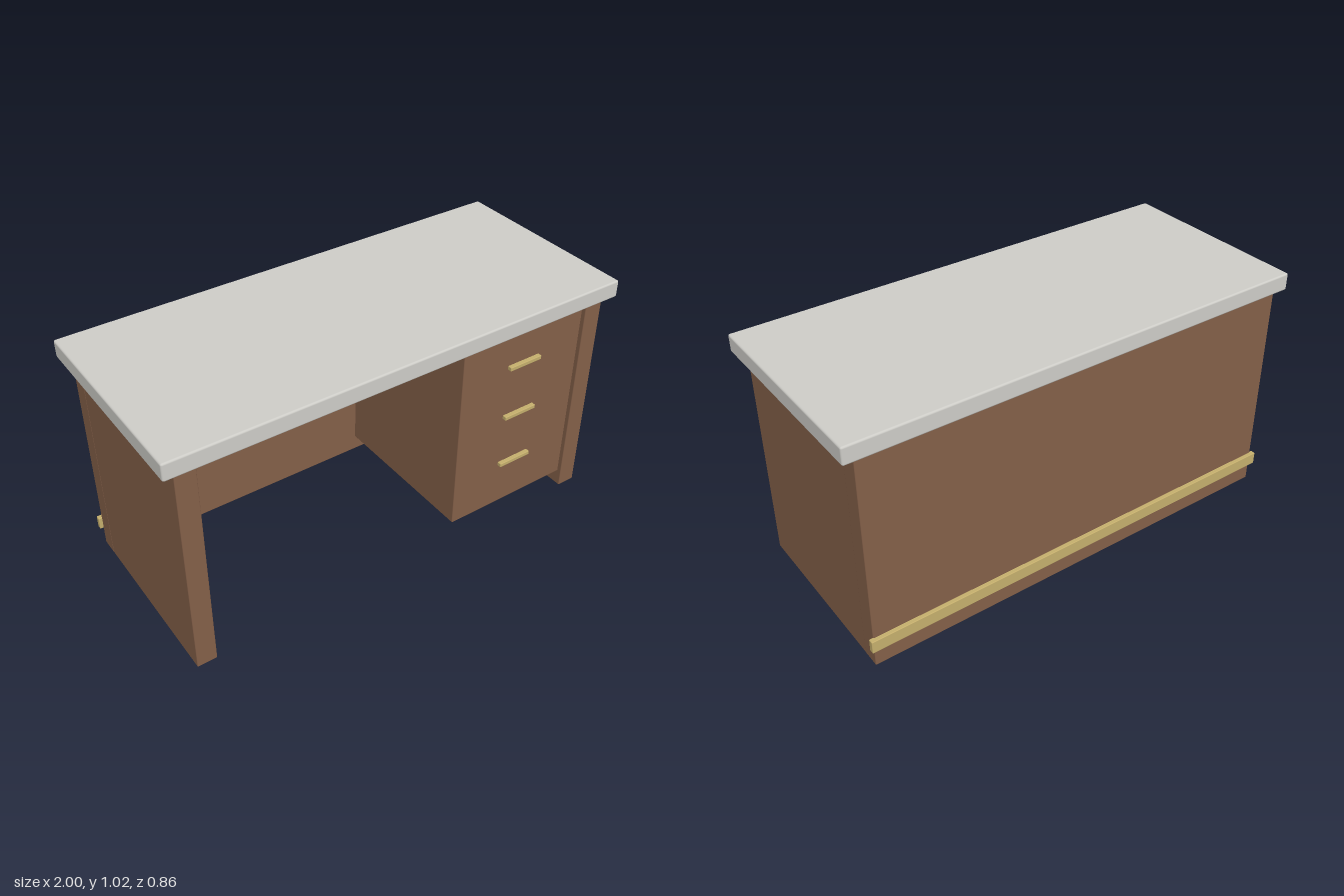
import * as THREE from 'three';
import { RoundedBoxGeometry } from 'three/addons/geometries/RoundedBoxGeometry.js';

const material = (name, color) => {
  const m = new THREE.MeshStandardMaterial({ color });
  m.name = name;
  return m;
};

// Softly edged box given by its limits on each axis
function block(name, mat, [x0, x1], [y0, y1], [z0, z1], radius) {
  const geometry = new RoundedBoxGeometry(x1 - x0, y1 - y0, z1 - z0, 2, radius);
  const mesh = new THREE.Mesh(geometry, mat);
  mesh.position.set((x0 + x1) / 2, (y0 + y1) / 2, (z0 + z1) / 2);
  mesh.name = name;
  return mesh;
}

export function createModel() {
  const wood = material('brown wood', 0x835f48);
  const stone = material('pale grey top', 0xcdccc7);
  const brass = material('brass', 0xc4ae6c);
  const desk = new THREE.Group();
  desk.name = 'desk';

  // Overhanging top
  desk.add(block('deskTop', stone, [-1, 1], [0.943, 1.017], [-0.43, 0.43], 0.008));

  // Side panels and the full-width back panel
  desk.add(block('rightPanel', wood, [-0.95, -0.867], [0, 0.95], [-0.4, 0.4], 0.004));
  desk.add(block('leftPanel', wood, [0.867, 0.95], [0, 0.95], [-0.4, 0.4], 0.004));
  desk.add(block('backPanel', wood, [-0.951, 0.951], [0.001, 0.95], [-0.409, -0.329], 0.004));

  // Drawer cabinet with three pulls
  desk.add(block('drawerCabinet', wood, [0.267, 0.87], [0.07, 0.912], [-0.34, 0.38], 0.004));
  [0.768, 0.527, 0.284].forEach((y, i) => {
    desk.add(block(`drawerPull${i + 1}`, brass, [0.495, 0.653], [y - 0.009, y + 0.009], [0.375, 0.398], 0.003));
  });

  // Brass rail along the foot of the back
  desk.add(block('footRail', brass, [-0.966, 0.966], [0.085, 0.14], [-0.426, -0.404], 0.003));
  return desk;
}
